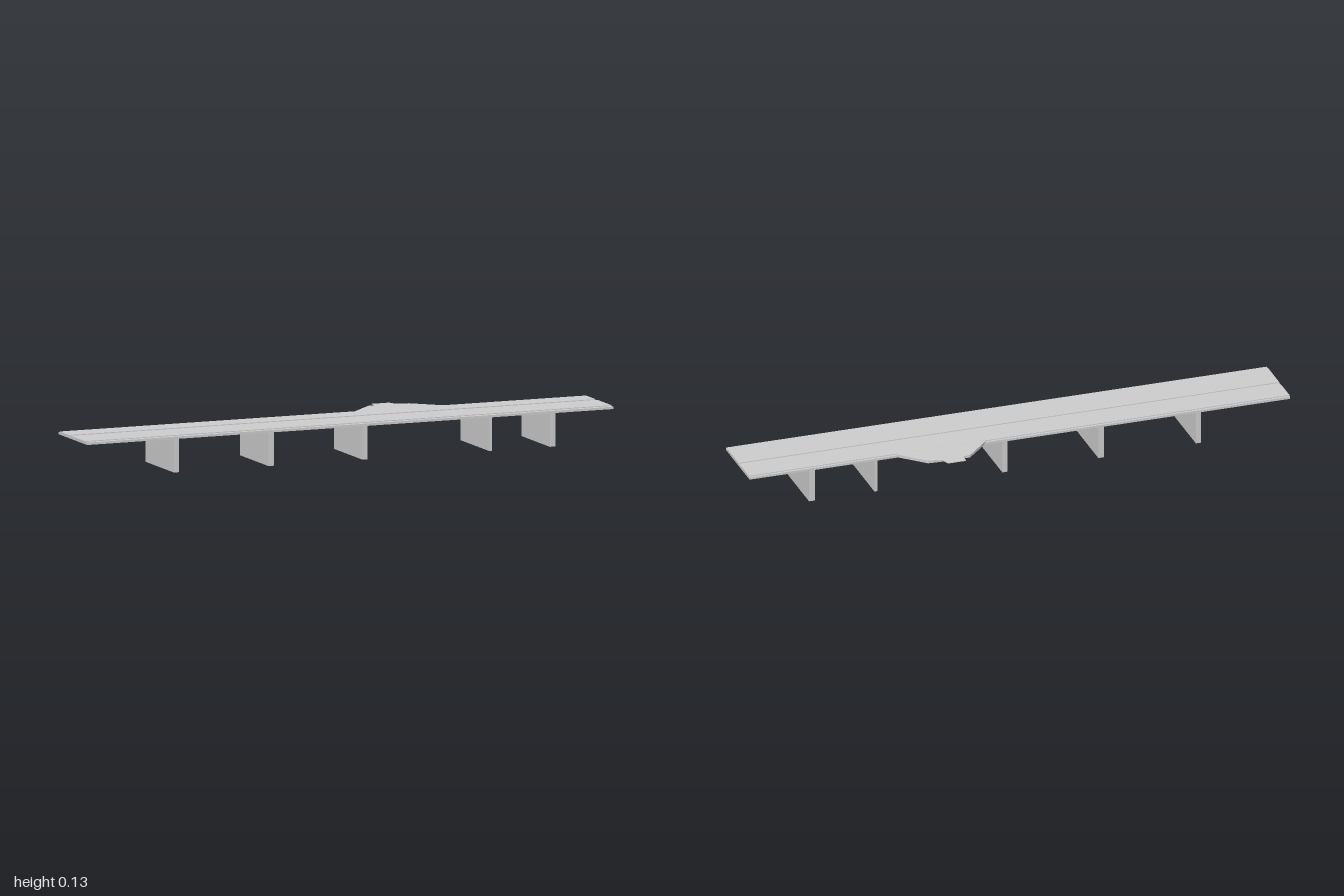
import * as THREE from 'three';

const material = new THREE.MeshStandardMaterial({ color: 0xcccccc, flatShading: true });

// Box given by its min and max along each axis
function slab(name, [x0, x1], [y0, y1], [z0, z1]) {
  const mesh = new THREE.Mesh(new THREE.BoxGeometry(x1 - x0, y1 - y0, z1 - z0), material);
  mesh.position.set((x0 + x1) / 2, (y0 + y1) / 2, (z0 + z1) / 2);
  mesh.name = name;
  return mesh;
}

// Flat plate from an outline of [x, z] points, between two heights
function plate(name, outline, y0, y1) {
  const shape = new THREE.Shape(outline.map(([x, z]) => new THREE.Vector2(x, -z)));
  const geometry = new THREE.ExtrudeGeometry(shape, { depth: y1 - y0, bevelEnabled: false });
  geometry.rotateX(-Math.PI / 2);
  const mesh = new THREE.Mesh(geometry, material);
  mesh.position.y = y0;
  mesh.name = name;
  return mesh;
}

export function createModel() {
  const bridge = new THREE.Group();
  bridge.name = 'bridge';
  const back = -0.068, front = 0.1875;

  // Deck with two slightly raised carriageways and a median gap
  bridge.add(slab('deck', [-1, 1], [0.1185, 0.1267], [back, front]));
  bridge.add(slab('frontRoadway', [-1, 1], [0.1267, 0.1295], [0.05, 0.17]));
  bridge.add(slab('backRoadway', [-1, 1], [0.1267, 0.1295], [-0.059, 0.027]));

  // Wall piers across the full width
  const piers = [[-0.67, -0.651], [-0.311, -0.29], [0.046, 0.065], [0.527, 0.538], [0.758, 0.78]];
  piers.forEach((x, i) => bridge.add(slab('pier' + (i + 1), x, [0, 0.1185], [back, front])));

  // Side platform: thick base under a thin paved top with a projecting tab
  bridge.add(plate('platformBase', [
    [0.13, back], [0.45, back], [0.366, -0.147], [0.318, -0.15], [0.212, -0.15],
  ], 0.1185, 0.1267));
  bridge.add(plate('platformTop', [
    [0.122, -0.059], [0.46, -0.059], [0.45, back], [0.366, -0.147], [0.318, -0.156],
    [0.307, -0.1875], [0.24, -0.1875], [0.24, -0.155], [0.212, -0.152], [0.13, back],
  ], 0.1267, 0.1292));

  return bridge;
}
